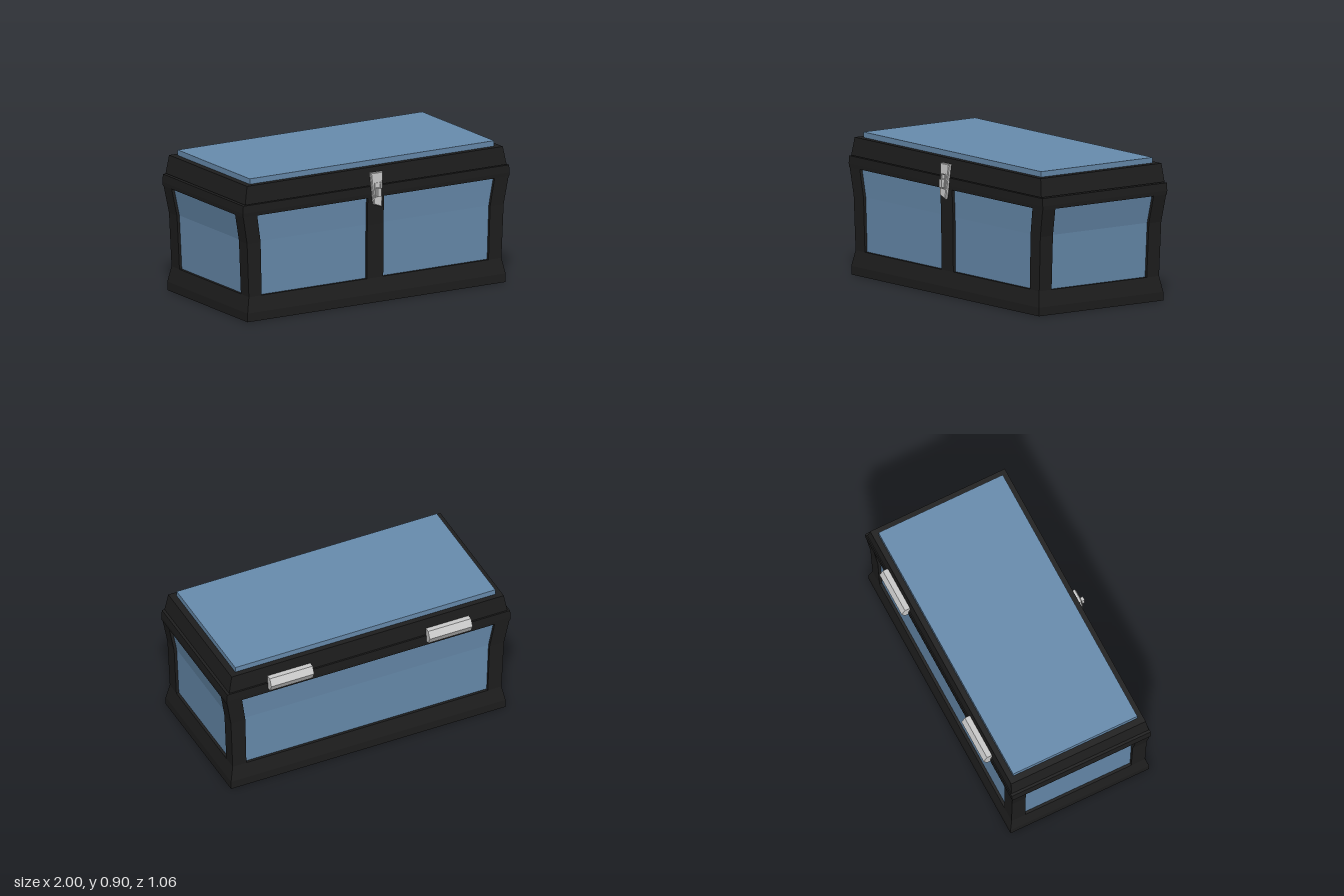
import * as THREE from 'three';

const black = new THREE.MeshStandardMaterial({ color: 0x1e1e1e, flatShading: true });
const blue = new THREE.MeshStandardMaterial({ color: 0x688cae, flatShading: true });
const grey = new THREE.MeshStandardMaterial({ color: 0xcccccc, flatShading: true });

// The whole chest leans very slightly: x shifts with z.
const shear = new THREE.Matrix4().set(
  1, 0, -0.023, -0.003,
  0, 1, 0, 0,
  0, 0, 1, 0,
  0, 0, 0, 1);

function part(group, name, geometry, material) {
  geometry.applyMatrix4(shear);
  geometry.computeVertexNormals();
  const mesh = new THREE.Mesh(geometry, material);
  mesh.name = name;
  group.add(mesh);
}

// Closed solid through rectangular sections [y, xMin, xMax, zMin, zMax], bottom to top.
function loft(sections) {
  const pos = [], idx = [];
  for (const [y, x0, x1, z0, z1] of sections) {
    pos.push(x0, y, z1, x1, y, z1, x1, y, z0, x0, y, z0);
  }
  const last = (sections.length - 1) * 4;
  for (let s = 0; s < last; s += 4) {
    for (let i = 0; i < 4; i++) {
      const a = s + i, b = s + (i + 1) % 4;
      idx.push(a, b, b + 4, a, b + 4, a + 4);
    }
  }
  idx.push(0, 2, 1, 0, 3, 2);
  idx.push(last, last + 1, last + 2, last, last + 2, last + 3);
  const g = new THREE.BufferGeometry();
  g.setAttribute('position', new THREE.Float32BufferAttribute(pos, 3));
  g.setIndex(idx);
  return g.toNonIndexed();
}

// Symmetric in x: [y, halfWidth, zBack, zFront]
const wide = (rows) => loft(rows.map(([y, w, z0, z1]) => [y, -w, w, z0, z1]));

function shapeOf(points) {
  return new THREE.Shape(points.map(([x, y]) => new THREE.Vector2(x, y)));
}

export function createModel() {
  const chest = new THREE.Group();
  chest.name = 'chest';

  // Flared wall profile between base and rim: [y, halfWidth, zBack, zFront]
  const wall = [
    [0.155, 0.935, -0.457, 0.472],
    [0.5, 0.95, -0.463, 0.475],
    [0.68, 0.983, -0.477, 0.482],
  ];
  // Inner edges of the panel openings at the same heights: [x, zBack, zFront]
  const opening = [
    [0.84, -0.362, 0.376],
    [0.85, -0.367, 0.377],
    [0.88, -0.38, 0.383],
  ];

  // Body
  part(chest, 'base', wide([[0, 0.955, -0.475, 0.49], [0.055, 0.955, -0.475, 0.49], wall[0]]), black);
  const recess = 0.018;
  part(chest, 'sidePanels', wide(wall.map(([y, w, z0, z1]) =>
    [y, w - recess, z0 + recess, z1 - recess])), blue);
  part(chest, 'rim', wide([[0.675, 0.986, -0.479, 0.483], [0.7, 0.988, -0.481, 0.485], [0.749, 0.984, -0.481, 0.485]]), black);

  for (const side of [-1, 1]) {
    for (const front of [true, false]) {
      const rows = wall.map(([y, w, zb, zf], i) => {
        const [ox, ob, of] = opening[i];
        const xs = side > 0 ? [ox, w] : [-w, -ox];
        return [y, ...xs, ...(front ? [of, zf] : [zb, ob])];
      });
      part(chest, (front ? 'front' : 'back') + (side > 0 ? 'Left' : 'Right') + 'Post', loft(rows), black);
    }
  }
  part(chest, 'frontDivider', wide(wall.map(([y, , , zf]) => [y, 0.06, zf - 0.06, zf])), black);

  // Lid
  part(chest, 'lidFrame', wide([[0.753, 0.968, -0.475, 0.481], [0.869, 0.947, -0.467, 0.47]]), black);
  part(chest, 'lidPanel', wide([[0.86, 0.905, -0.431, 0.434], [0.904, 0.905, -0.431, 0.434]]), blue);

  // Latch: tapered tilted plate, raised frame and knob
  const latch = new THREE.Group();
  latch.name = 'latch';
  chest.add(latch);
  const place = (g) => g.rotateX(-0.075).translate(0, 0.725, 0.484);
  const plate = new THREE.ExtrudeGeometry(
    shapeOf([[-0.026, -0.088], [0.024, -0.107], [0.04, 0.106], [-0.04, 0.106]]),
    { depth: 0.014, bevelEnabled: true, bevelSize: 0.005, bevelThickness: 0.005, bevelSegments: 1 });
  part(latch, 'latchPlate', place(plate), grey);
  const ring = shapeOf([[-0.022, -0.05], [0.022, -0.05], [0.022, 0.045], [-0.022, 0.045]]);
  ring.holes.push(shapeOf([[-0.017, -0.043], [-0.017, 0.038], [0.017, 0.038], [0.017, -0.043]]));
  part(latch, 'latchRing', place(
    new THREE.ExtrudeGeometry(ring, { depth: 0.007, bevelEnabled: false }).translate(0, 0, 0.018)), grey);
  part(latch, 'latchKnob', new THREE.BoxGeometry(0.026, 0.052, 0.04).translate(0, 0.714, 0.509), grey);

  // Hinges: pointed profile in z-y, extruded along x
  const profile = [[0.465, 0.707], [0.507, 0.707], [0.53, 0.753], [0.507, 0.799], [0.465, 0.799]];
  for (const side of [-1, 1]) {
    const g = new THREE.ExtrudeGeometry(shapeOf(profile), { depth: 0.298, bevelEnabled: false });
    g.translate(0, 0, -0.149).rotateY(Math.PI / 2);
    // profile x now points to -z
    g.translate(side * 0.551, 0, 0);
    part(chest, side > 0 ? 'leftHinge' : 'rightHinge', g, grey);
  }
  return chest;
}
